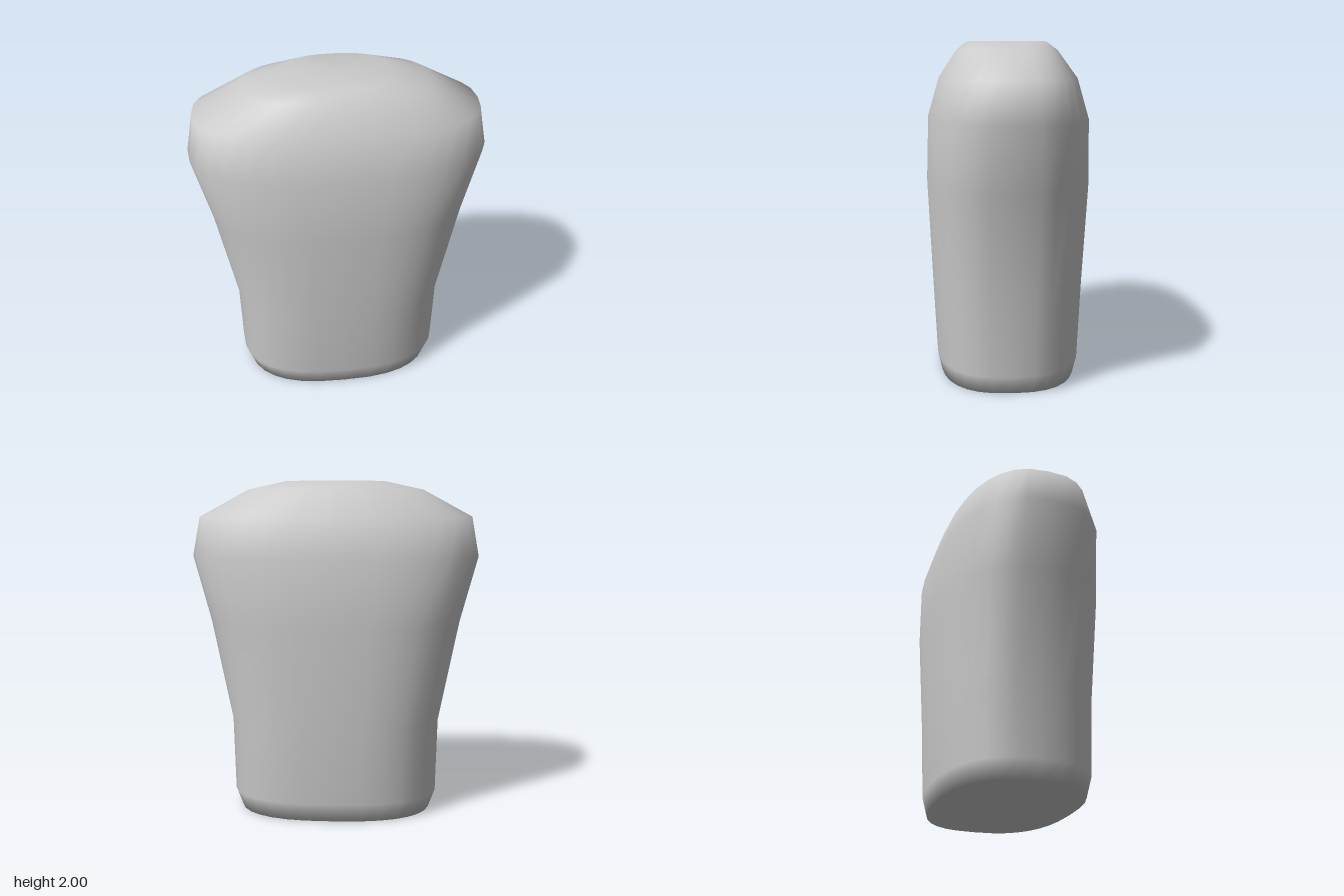
import * as THREE from 'three';

const SEGMENTS = 32;
const POWER = 2 / 2.6; // superellipse roundness

// Cross-sections from bottom to top: height, half width, half depth
const RINGS = [
  [0, 0.59, 0.41],
  [0.11, 0.63, 0.435],
  [0.56, 0.64, 0.457],
  [1.17, 0.76, 0.485],
  [1.56, 0.866, 0.473],
  [1.79, 0.825, 0.405],
  [1.95, 0.53, 0.3],
  [2, 0.3, 0.24],
];

const soften = (v) => (Math.abs(v) < 1e-9 ? 0 : Math.sign(v) * Math.abs(v) ** POWER);

// Smooth closed loft through superellipse rings, with a flat cap at each end
function loft(rings) {
  const positions = [];
  const index = [];
  for (const [y, halfWidth, halfDepth] of rings) {
    for (let i = 0; i < SEGMENTS; i++) {
      const a = (i / SEGMENTS) * Math.PI * 2;
      positions.push(halfWidth * soften(Math.cos(a)), y, halfDepth * soften(Math.sin(a)));
    }
  }
  for (let r = 0; r < rings.length - 1; r++) {
    for (let i = 0; i < SEGMENTS; i++) {
      const a = r * SEGMENTS + i;
      const b = r * SEGMENTS + ((i + 1) % SEGMENTS);
      index.push(a, a + SEGMENTS, b, b, a + SEGMENTS, b + SEGMENTS);
    }
  }
  // Caps share the rim vertices so the shading rolls over the edge
  const bottom = positions.length / 3;
  const top = bottom + 1;
  const lastRing = (rings.length - 1) * SEGMENTS;
  positions.push(0, rings[0][0], 0, 0, rings[rings.length - 1][0], 0);
  for (let i = 0; i < SEGMENTS; i++) {
    const j = (i + 1) % SEGMENTS;
    index.push(bottom, i, j);
    index.push(top, lastRing + j, lastRing + i);
  }
  const geometry = new THREE.BufferGeometry();
  geometry.setAttribute('position', new THREE.Float32BufferAttribute(positions, 3));
  geometry.setIndex(index);
  geometry.computeVertexNormals();
  return geometry;
}

export function createModel() {
  const model = new THREE.Group();
  const body = new THREE.Mesh(loft(RINGS), new THREE.MeshStandardMaterial({ color: 0xcccccc }));
  body.name = 'torso';
  model.add(body);
  return model;
}
